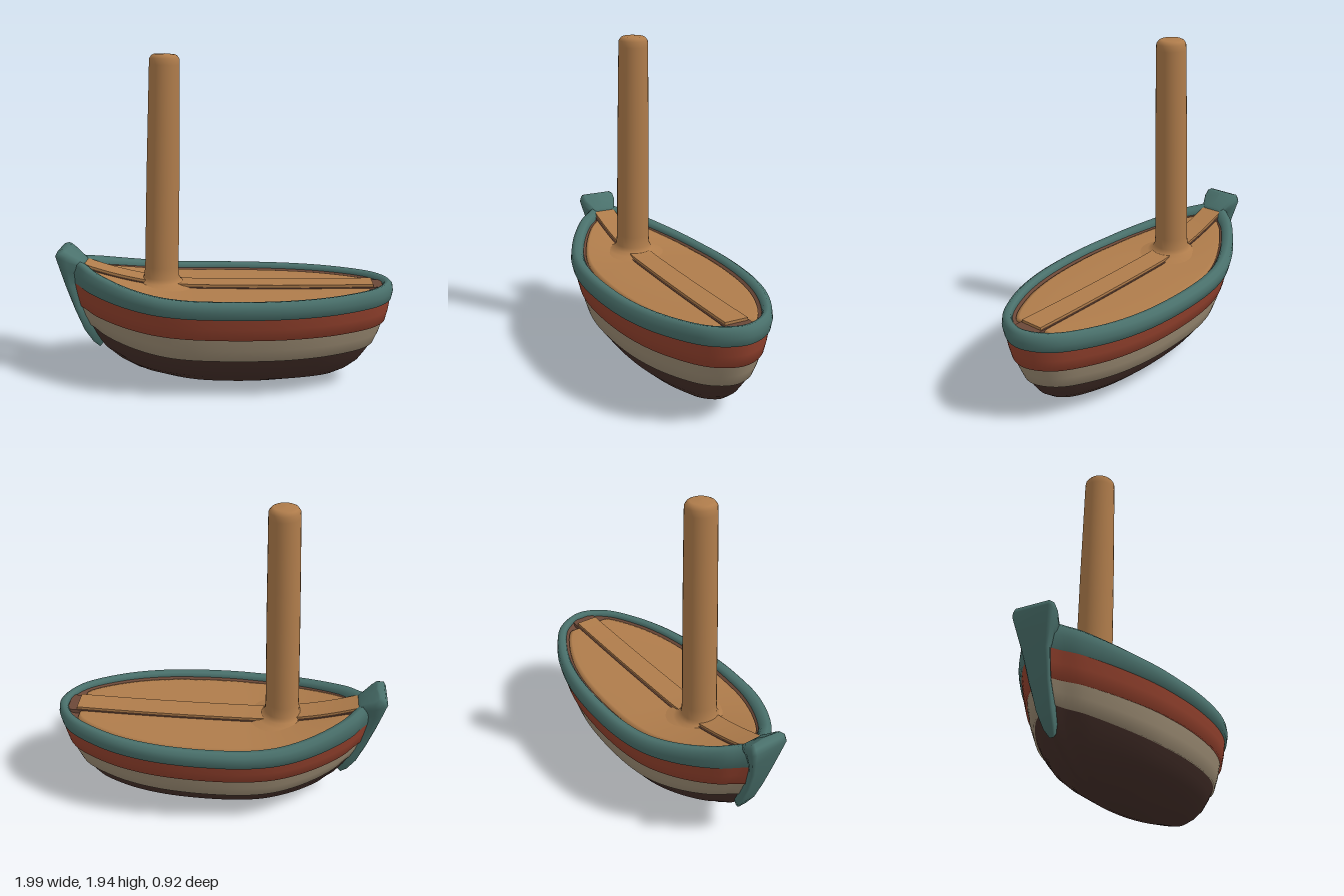
import * as THREE from 'three';

const mat = (name, color) => {
  const m = new THREE.MeshStandardMaterial({ color });
  m.name = name;
  return m;
};

// Unit waterline from the bow (-1) round the stern (+1)
const side = [[-1, 0.04], [-0.93, 0.2], [-0.845, 0.41], [-0.64, 0.71], [-0.43, 0.9], [-0.22, 0.98],
  [-0.02, 1], [0.2, 0.98], [0.39, 0.925], [0.6, 0.8], [0.8, 0.59], [0.907, 0.42], [0.975, 0.21]];
const ring = [...side, [1, 0], ...side.slice().reverse().map(([x, z]) => [x, -z])];
const N = 112;
const outline = new THREE.CatmullRomCurve3(ring.map(([x, z]) => new THREE.Vector3(x, 0, z)), true)
  .getPoints(N).slice(0, N);

// Rise of the hull lines towards bow and stern
const sheer = x => 0.16 * Math.pow(Math.max(0, (-x - 0.15) / 0.8), 2) + 0.02 * Math.max(0, x) ** 2;

// Skin over a list of closed loops of points
function skin(loops, closed = false) {
  const n = loops[0].length, index = [];
  const rows = closed ? loops.length : loops.length - 1;
  for (let i = 0; i < rows; i++) {
    for (let j = 0; j < n; j++) {
      const k = (j + 1) % n, i2 = (i + 1) % loops.length;
      const a = i * n + j, b = i * n + k, c = i2 * n + k, d = i2 * n + j;
      index.push(a, b, c, a, c, d);
    }
  }
  const g = new THREE.BufferGeometry();
  g.setAttribute('position', new THREE.Float32BufferAttribute(loops.flat(2), 3));
  g.setIndex(index);
  g.computeVertexNormals();
  return g;
}

// Row: height amidships, bow x, stern x, half width, share of the sheer, x where the stern is cut square
const waterline = ([y, xb, xs, hw, k, cut = 1]) => outline.map(p => {
  const x = Math.min(cut, (xb + xs) / 2 + p.x * (xs - xb) / 2);
  return [x, y + k * sheer(x), p.z * hw];
});
const loft = (rows, closed) => skin(rows.map(waterline), closed);

// Long board bent along the sheer
function board(x0, x1, y0, y1, halfWidth) {
  const g = new THREE.BoxGeometry(x1 - x0, y1 - y0, halfWidth * 2, 24, 1, 1);
  g.translate((x0 + x1) / 2, (y0 + y1) / 2, 0);
  const p = g.attributes.position;
  for (let i = 0; i < p.count; i++) p.setY(i, p.getY(i) + sheer(p.getX(i)));
  g.computeVertexNormals();
  return g;
}

export function createModel() {
  const wood = mat('tan wood', 0xaf7c4b);
  const teal = mat('teal paint', 0x4a716c);
  const red = mat('red paint', 0x93412d);
  const cream = mat('cream paint', 0x9a8a72);
  const dark = mat('dark brown', 0x452f29);
  const inner = mat('inner brown', 0x6b4838);

  const boat = new THREE.Group();
  boat.name = 'boat';
  const add = (name, geometry, material) => {
    const m = new THREE.Mesh(geometry, material);
    m.name = name;
    boat.add(m);
    return m;
  };

  // Hull bands from keel to rim
  add('lowerHull', loft([
    [0, -0.2, 0.2, 0, 0], [0.002, -0.25, 0.25, 0.07, 0], [0.016, -0.38, 0.42, 0.115, 0],
    [0.055, -0.54, 0.67, 0.18, 0.1], [0.09, -0.64, 0.745, 0.235, 0.4], [0.135, -0.73, 0.805, 0.288, 0.6],
    [0.19, -0.795, 0.847, 0.328, 0.8], [0.245, -0.835, 0.882, 0.358, 0.85]]), dark);
  add('creamBand', loft([
    [0.242, -0.8, 0.86, 0.345, 0.85], [0.238, -0.84, 0.888, 0.365, 0.85],
    [0.31, -0.87, 0.918, 0.388, 0.7], [0.39, -0.892, 0.942, 0.402, 0.55]]), cream);
  add('redBand', loft([
    [0.385, -0.865, 0.92, 0.39, 0.55], [0.38, -0.897, 0.953, 0.413, 0.55],
    [0.45, -0.918, 0.97, 0.43, 0.58], [0.52, -0.935, 0.98, 0.44, 0.62]]), red);

  // Rounded gunwale
  add('gunwale', loft([
    [0.505, -0.92, 0.965, 0.43, 0.62], [0.513, -0.935, 0.985, 0.453, 0.62],
    [0.555, -0.95, 0.994, 0.462, 0.8], [0.592, -0.945, 0.988, 0.457, 0.95],
    [0.61, -0.92, 0.968, 0.43, 1], [0.605, -0.88, 0.945, 0.4, 1],
    [0.585, -0.86, 0.935, 0.386, 0.95], [0.52, -0.86, 0.935, 0.386, 0.65]], true), teal);

  // Inside of the hull, seen as a dark margin round the deck
  add('innerHull', loft([
    [0.585, -0.87, 0.94, 0.39, 1], [0.562, -0.85, 0.92, 0.37, 1],
    [0.558, -0.8, 0.8, 0.2, 1], [0.558, -0.75, 0.75, 0, 1]]), inner);
  add('deck', loft([
    [0.55, -0.85, 0.915, 0.368, 1, 0.85], [0.574, -0.85, 0.915, 0.366, 1, 0.85],
    [0.58, -0.835, 0.89, 0.345, 1, 0.84], [0.582, -0.8, 0.82, 0.17, 1],
    [0.582, -0.78, 0.78, 0, 1]]), wood);

  // Centre plank with dark seams
  add('plankSeams', board(-0.83, 0.93, 0.55, 0.586, 0.078), inner);
  add('centrePlank', board(-0.85, 0.87, 0.56, 0.602, 0.069), wood);

  // Mast with a softly flared foot and slight lean
  const profile = [[0.28, -0.014], [0.2, 0.006], [0.15, 0.016], [0.12, 0.03], [0.105, 0.055], [0.1, 0.12],
    [0.096, 0.7], [0.088, 1.3], [0.086, 1.335], [0.074, 1.352], [0.06, 1.359], [0, 1.363]];
  const mast = add('mast', new THREE.LatheGeometry(profile.map(p => new THREE.Vector2(...p)), 28), wood);
  mast.position.set(-0.386, 0.582, 0);
  mast.rotation.z = -0.028;

  // Stem post, widening up to the bow head: front x,y, back x,y, half width
  const stem = [
    [-0.77, 0.185, -0.68, 0.28, 0.012], [-0.805, 0.22, -0.7, 0.3, 0.03],
    [-0.855, 0.3, -0.75, 0.36, 0.045], [-0.905, 0.43, -0.84, 0.45, 0.058],
    [-0.953, 0.58, -0.875, 0.59, 0.075], [-0.98, 0.69, -0.86, 0.66, 0.1],
    [-1, 0.775, -0.83, 0.695, 0.12], [-0.985, 0.805, -0.835, 0.718, 0.117],
    [-0.955, 0.815, -0.85, 0.735, 0.1], [-0.94, 0.812, -0.88, 0.765, 0]];
  add('stemPost', skin(stem.map(([fx, fy, bx, by, w]) => {
    const at = (t, z) => [fx + (bx - fx) * t, fy + (by - fy) * t, z * w];
    return [at(0, -0.85), at(0, 0.85), at(0.12, 1), at(0.4, 0.95), at(1, 0.6),
      at(1, -0.6), at(0.4, -0.95), at(0.12, -1)];
  })), teal);

  return boat;
}
